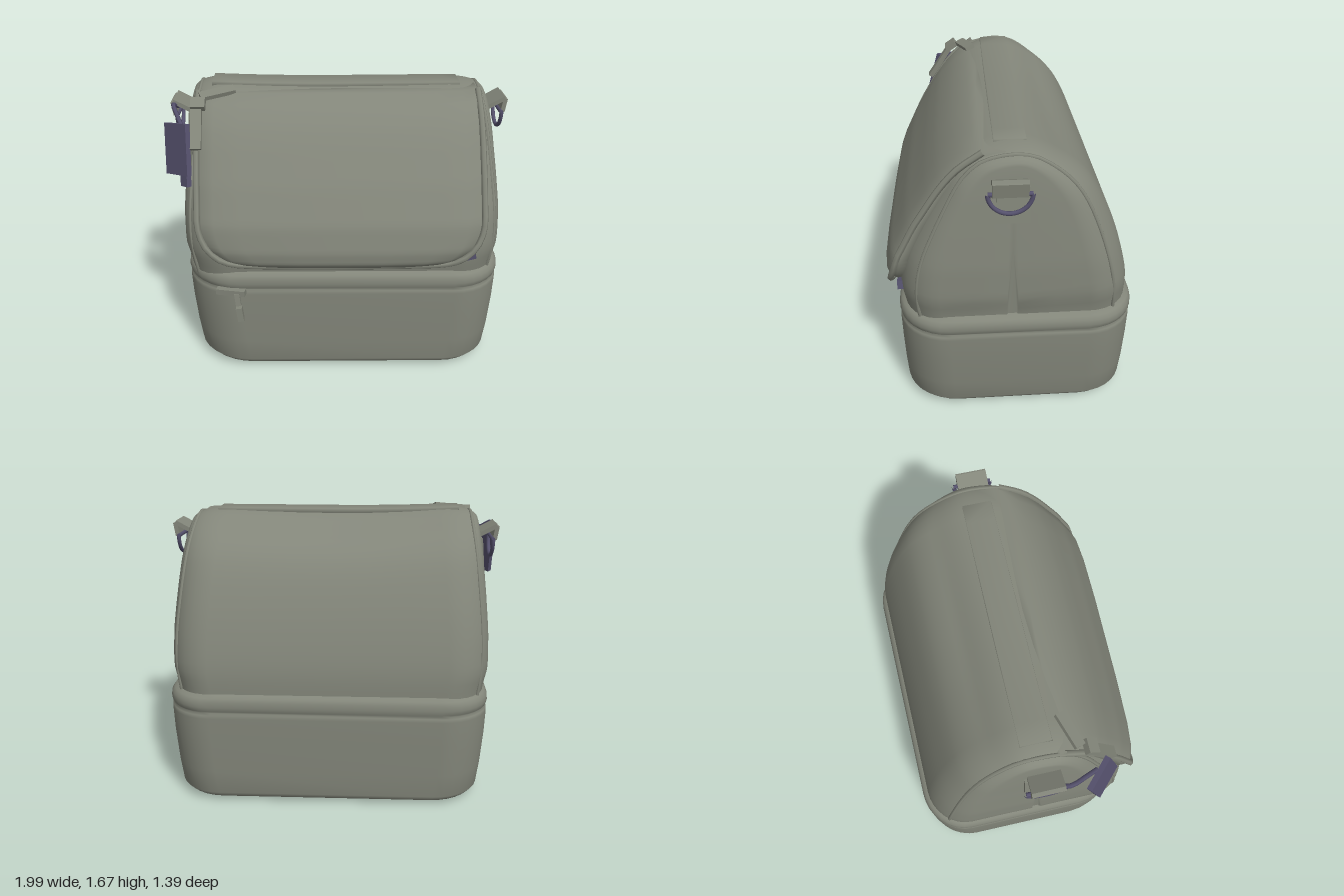
import * as THREE from 'three';

const fabric = new THREE.MeshStandardMaterial({ color: 0x83867a });
fabric.name = 'grey green fabric';
const violet = new THREE.MeshStandardMaterial({ color: 0x55516d });
violet.name = 'dark violet trim';

// Linear lookup in a short [key, value] table
function lookup(table, k) {
  if (k <= table[0][0]) return table[0][1];
  for (let i = 1; i < table.length; i++) {
    const [k0, v0] = table[i - 1], [k1, v1] = table[i];
    if (k <= k1) return v0 + (v1 - v0) * (k - k0) / (k1 - k0);
  }
  return table[table.length - 1][1];
}

// The bag is slightly deeper towards its left end
const deepen = (x, z) => z * (0.975 + 0.035 * x);

// Skin over equal-length closed rings, capped at both ends, facing outward
function loft(rings) {
  const n = rings[0].length, pos = [], idx = [];
  rings.forEach(r => r.forEach(p => pos.push(...p)));
  for (let i = 0; i < rings.length - 1; i++) {
    for (let j = 0; j < n; j++) {
      const a = i * n + j, b = i * n + (j + 1) % n;
      idx.push(a, b, b + n, a, b + n, a + n);
    }
  }
  [0, rings.length - 1].forEach((row, end) => {
    const c = [0, 1, 2].map(k => rings[row].reduce((s, p) => s + p[k], 0) / n);
    const ci = pos.length / 3;
    pos.push(...c);
    for (let j = 0; j < n; j++) {
      const a = row * n + j, b = row * n + (j + 1) % n;
      idx.push(...(end ? [ci, a, b] : [ci, b, a]));
    }
  });
  // Turn the faces over if the enclosed volume comes out negative
  const v = i => new THREE.Vector3(pos[i * 3], pos[i * 3 + 1], pos[i * 3 + 2]);
  let volume = 0;
  for (let i = 0; i < idx.length; i += 3) volume += v(idx[i]).dot(v(idx[i + 1]).cross(v(idx[i + 2])));
  if (volume < 0) idx.reverse();
  const g = new THREE.BufferGeometry();
  g.setAttribute('position', new THREE.Float32BufferAttribute(pos, 3));
  g.setIndex(idx);
  g.computeVertexNormals();
  return g;
}

// Horizontal rounded rectangle; the front right corner is the softest
function roundedRing(y, hw, hd) {
  const ring = [];
  [0.29, 0.33, 0.27, 0.27].forEach((r, q) => {
    const sx = q === 0 || q === 3 ? 1 : -1, sz = q < 2 ? 1 : -1;
    for (let i = 0; i <= 8; i++) {
      const a = (q + i / 8) * Math.PI / 2;
      const x = 0.02 + sx * (hw - r) + r * Math.cos(a);
      ring.push([x, y, deepen(x, -0.035 + sz * (hd - r) + r * Math.sin(a))]);
    }
  });
  return ring;
}

// Arched cross-section of the upper bag, and its half width at each height
const arch = new THREE.CatmullRomCurve3([
  [0.58, 0.6], [0.605, 0.8], [0.575, 1], [0.49, 1.2], [0.38, 1.4], [0.3, 1.52], [0.19, 1.605], [0.05, 1.64],
  [-0.1, 1.64], [-0.23, 1.59], [-0.35, 1.505], [-0.44, 1.4], [-0.54, 1.2], [-0.61, 1], [-0.655, 0.8], [-0.66, 0.6],
].map(([z, y]) => new THREE.Vector3(0, y, z))).getPoints(60);
const halfWidth = [[0.6, 0.89], [0.7, 0.9], [0.8, 0.922], [1, 0.918], [1.2, 0.9], [1.4, 0.88], [1.6, 0.855]];

function archRing(side, inset) {
  return arch.map(p => {
    const y = 0.6 + (p.y - 0.6) * (1 - 0.07 * inset);
    const lift = side * side * Math.max(0, y - 1.3) * (side < 0 ? 0.1 : 0.03);
    const sag = (1 - side * side) * 0.045 * Math.max(0, 1 - Math.abs(p.z + 0.25) / 0.25);
    const x = 0.012 + side * lookup(halfWidth, y);
    return [x, y + lift - sag, deepen(x, p.z * (1 - 0.36 * inset))];
  });
}

const flapFront = [[0.74, 0.67], [0.78, 0.7], [0.85, 0.705], [1, 0.67], [1.2, 0.57], [1.4, 0.445], [1.5, 0.37], [1.6, 0.26], [1.63, 0.2]];
const flapBottom = 0.75, flapTop = 1.63, flapRadius = 0.26;
function flapHalf(y) {
  const d = Math.max(0, flapRadius - (y - flapBottom));
  return 0.805 - flapRadius + Math.sqrt(Math.max(0, flapRadius ** 2 - d * d));
}

export function createModel() {
  const model = new THREE.Group();
  model.name = 'lunchBag';
  const add = (name, geometry, material = fabric, parent = model) => {
    const mesh = new THREE.Mesh(geometry, material);
    mesh.name = name;
    parent.add(mesh);
    return mesh;
  };
  const box = (name, size, at, rot = [0, 0, 0], material = fabric, parent = model) => {
    const mesh = add(name, new THREE.BoxGeometry(...size), material, parent);
    mesh.position.set(...at);
    mesh.rotation.set(...rot);
    return mesh;
  };
  const tube = (name, points, r, material = fabric) => add(name, new THREE.TubeGeometry(
    new THREE.CatmullRomCurve3(points.map(p => new THREE.Vector3(...p))), points.length * 2, r, 6), material);

  // Lower compartment with soft corners and a slim zip band at its top
  add('lowerCompartment', loft([
    [0, 0.79, 0.54], [0.008, 0.84, 0.59], [0.03, 0.88, 0.63], [0.06, 0.9, 0.648],
    [0.2, 0.916, 0.655], [0.4, 0.93, 0.66], [0.54, 0.934, 0.662], [0.56, 0.931, 0.66],
    [0.572, 0.922, 0.652], [0.584, 0.931, 0.66], [0.61, 0.936, 0.664], [0.64, 0.932, 0.661],
    [0.66, 0.918, 0.652], [0.675, 0.895, 0.632], [0.69, 0.85, 0.59],
  ].map(a => roundedRing(...a))));

  // Arched upper compartment with rounded ends and flat side panels
  const stations = [[0, 0], [0.25, 0], [0.5, 0]];
  for (let i = 0; i <= 8; i++) {
    const a = i / 8 * Math.PI / 2;
    stations.push([0.74 + 0.26 * Math.sin(a), 1 - Math.cos(a)]);
  }
  stations.push([1, 1.8], [1, 2.65]);
  const sides = [...stations.slice(1).reverse().map(([s, k]) => [-s, k]), ...stations];
  add('upperCompartment', loft(sides.map(([s, k]) => archRing(s, k))));
  for (const s of [-0.95, 0.95]) {
    tube('sidePiping', archRing(s, 0.42).filter((p, i) => i % 3 === 0), 0.011);
  }

  // Front flap following the arch, its sides curving back, with a raised rim
  const rows = [];
  for (let i = 0; i <= 30; i++) rows.push(flapBottom + (flapTop - flapBottom) * (i / 30) ** 1.6);
  add('frontFlap', loft(rows.map(y => {
    const w = flapHalf(y), z = lookup(flapFront, y);
    const half = [[0, 0], [0.35, 0], [0.7, -0.006], [0.88, -0.02], [0.97, -0.045], [1, -0.08], [1, -0.17]];
    const point = (f, d) => [f * w, y, deepen(f * w, z + d)];
    return [...half.slice(1).reverse().map(([f, d]) => point(-f, d)), ...half.map(([f, d]) => point(f, d))];
  })));
  const rim = rows.filter((y, i) => i % 2 === 0).map(y => {
    const w = flapHalf(y);
    return [w, y, lookup(flapFront, y) - 0.02 - 0.035 * (w / 0.805) ** 4];
  });
  tube('flapRim', [...rim.slice().reverse(), ...rim.map(([x, y, z]) => [-x, y, z])]
    .map(([x, y, z]) => [x, y, deepen(x, z)]), 0.018);
  box('flapLiningPeek', [0.14, 0.05, 0.05], [0.7, 0.783, 0.6], [0, 0, 0.25], violet);

  // Carrying strap lying along the top
  const strap = [];
  for (let i = 0; i <= 12; i++) {
    const x = -0.73 + i * 0.12, y = 1.648 + 0.02 * (x / 0.75) ** 2 * (x < 0 ? 1 : 0);
    strap.push([[x, y - 0.04, -0.085], [x, y + 0.004, -0.08], [x, y + 0.004, 0.085], [x, y - 0.04, 0.095]]);
  }
  add('topStrap', loft(strap));

  // Side loops with hanging D-shaped rings
  for (const side of [1, -1]) {
    const loop = new THREE.Group();
    loop.name = side > 0 ? 'leftSideLoop' : 'rightSideLoop';
    loop.position.x = 0.01;
    if (side < 0) loop.rotation.y = Math.PI;
    model.add(loop);
    box('loopPatch', [0.025, 0.2, 0.17], [0.888, 1.38, 0], [0, 0, 0.1], fabric, loop);
    box('loopTop', [0.12, 0.025, 0.18], [0.92, 1.53, 0.02 * side], [0, 0, 0.5], fabric, loop);
    box('loopDrop', [0.025, 0.08, 0.18], [0.968, 1.515, 0.02 * side], [0, 0, -0.15], fabric, loop);
    const ring = add('ring', new THREE.TorusGeometry(0.112, 0.012, 8, 24, Math.PI), violet, loop);
    ring.rotation.set(Math.PI, Math.PI / 2, 0, 'YXZ');
    ring.position.set(0.95, 1.48, 0.02 * side);
    const bar = add('ringBar', new THREE.CylinderGeometry(0.012, 0.012, 0.224, 8), violet, loop);
    bar.rotation.x = Math.PI / 2;
    bar.position.copy(ring.position);
  }

  // Hanging tag, its foot swung forward, and its link
  box('hangTag', [0.2, 0.29, 0.03], [-0.915, 1.355, 0.34], [-0.28, -0.78, 0], violet);
  box('tagFoot', [0.06, 0.09, 0.03], [-0.875, 1.2, 0.4], [-0.2, -0.78, 0], violet);
  tube('tagLink', [[-0.89, 1.48, 0.3], [-0.925, 1.52, 0.22], [-0.955, 1.55, 0.14], [-0.94, 1.52, 0.08]], 0.013, violet);

  // Zip pulls
  box('flapZipPull', [0.06, 0.23, 0.03], [-0.8, 1.48, 0.36], [-0.6, 0, 0]);
  box('topZipPull', [0.2, 0.025, 0.06], [-0.69, 1.635, 0.19], [0.35, 0.35, 0]);
  box('topZipSlider', [0.08, 0.04, 0.07], [-0.79, 1.6, 0.28], [0.6, 0, 0]);
  box('lowerZipSlider', [0.17, 0.035, 0.04], [-0.64, 0.565, 0.6], [0, -0.2, 0]);
  box('lowerZipCord', [0.03, 0.11, 0.02], [-0.6, 0.51, 0.63], [-0.1, 0, 0.1]);
  box('lowerZipPull', [0.035, 0.09, 0.04], [-0.59, 0.445, 0.65], [0, 0, 0.1]);
  return model;
}
